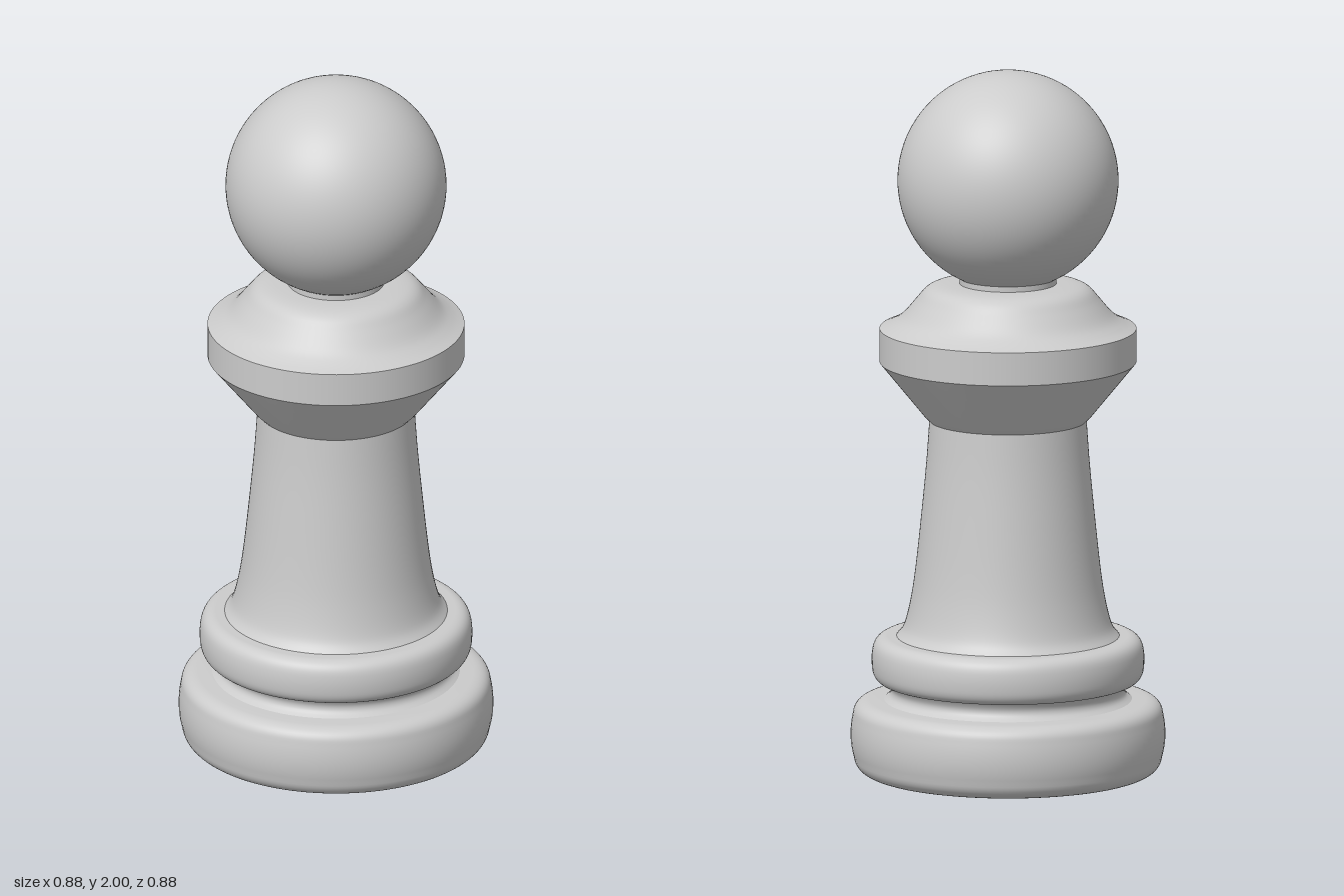
import * as THREE from 'three';

const SEGMENTS = 96;
const material = new THREE.MeshStandardMaterial({ color: 0xcccccc });

// Revolves a profile (bottom to top) into a named mesh.
function turned(name, points) {
  const mesh = new THREE.Mesh(new THREE.LatheGeometry(points, SEGMENTS), material);
  mesh.name = name;
  return mesh;
}

// Smooth profile through a few [radius, height] points.
function smooth(pairs, divisions = 32) {
  const curve = new THREE.SplineCurve(pairs.map(([r, y]) => new THREE.Vector2(r, y)));
  return curve.getPoints(divisions);
}

const line = (pairs) => pairs.map(([r, y]) => new THREE.Vector2(r, y));

export function createModel() {
  const pawn = new THREE.Group();
  pawn.name = 'pawn';

  // Heavy foot with rounded edges and slightly bulging side
  const foot = new THREE.Path();
  foot.moveTo(0, 0);
  foot.lineTo(0.28, 0.003);
  foot.lineTo(0.37, 0.01);
  foot.quadraticCurveTo(0.425, 0.014, 0.43, 0.06);
  foot.quadraticCurveTo(0.446, 0.115, 0.432, 0.18);
  foot.quadraticCurveTo(0.428, 0.216, 0.385, 0.219);
  foot.lineTo(0.34, 0.221);
  foot.lineTo(0.28, 0.221);
  pawn.add(turned('foot', foot.getPoints(10)));

  // Narrow groove between foot and ring
  pawn.add(turned('groove', smooth([[0.348, 0.219], [0.331, 0.232], [0.326, 0.248], [0.333, 0.265], [0.345, 0.28]], 14)));

  // Rounded ring
  const ring = new THREE.Path();
  ring.moveTo(0.31, 0.27);
  ring.lineTo(0.345, 0.27);
  ring.quadraticCurveTo(0.376, 0.274, 0.379, 0.312);
  ring.quadraticCurveTo(0.382, 0.34, 0.377, 0.365);
  ring.quadraticCurveTo(0.37, 0.399, 0.335, 0.4);
  ring.lineTo(0.28, 0.4);
  pawn.add(turned('ring', ring.getPoints(10)));

  // Flared stem
  pawn.add(turned('stem', smooth([
    [0.312, 0.398], [0.29, 0.43], [0.272, 0.5], [0.257, 0.6],
    [0.238, 0.78], [0.227, 0.9], [0.219, 1.015],
  ])));

  // Collar: conical underside, upright rim and domed shoulder
  const collar = new THREE.Group();
  collar.name = 'collar';
  collar.add(
    turned('collarUnderside', line([[0.218, 1.01], [0.235, 1.027], [0.358, 1.178]])),
    turned('collarRim', line([[0.358, 1.178], [0.358, 1.272]])),
    turned('collarShoulder', smooth([
      [0.358, 1.272], [0.327, 1.286], [0.295, 1.308], [0.257, 1.352],
      [0.228, 1.384], [0.19, 1.397], [0.12, 1.4], [0, 1.4],
    ])),
  );
  pawn.add(collar);

  // Ball head
  const head = new THREE.Mesh(new THREE.SphereGeometry(0.308, SEGMENTS, 48), material);
  head.name = 'head';
  head.position.y = 1.692;
  pawn.add(head);

  // Short neck under the head
  pawn.add(turned('neck', line([[0.135, 1.396], [0.135, 1.416]])));

  return pawn;
}
